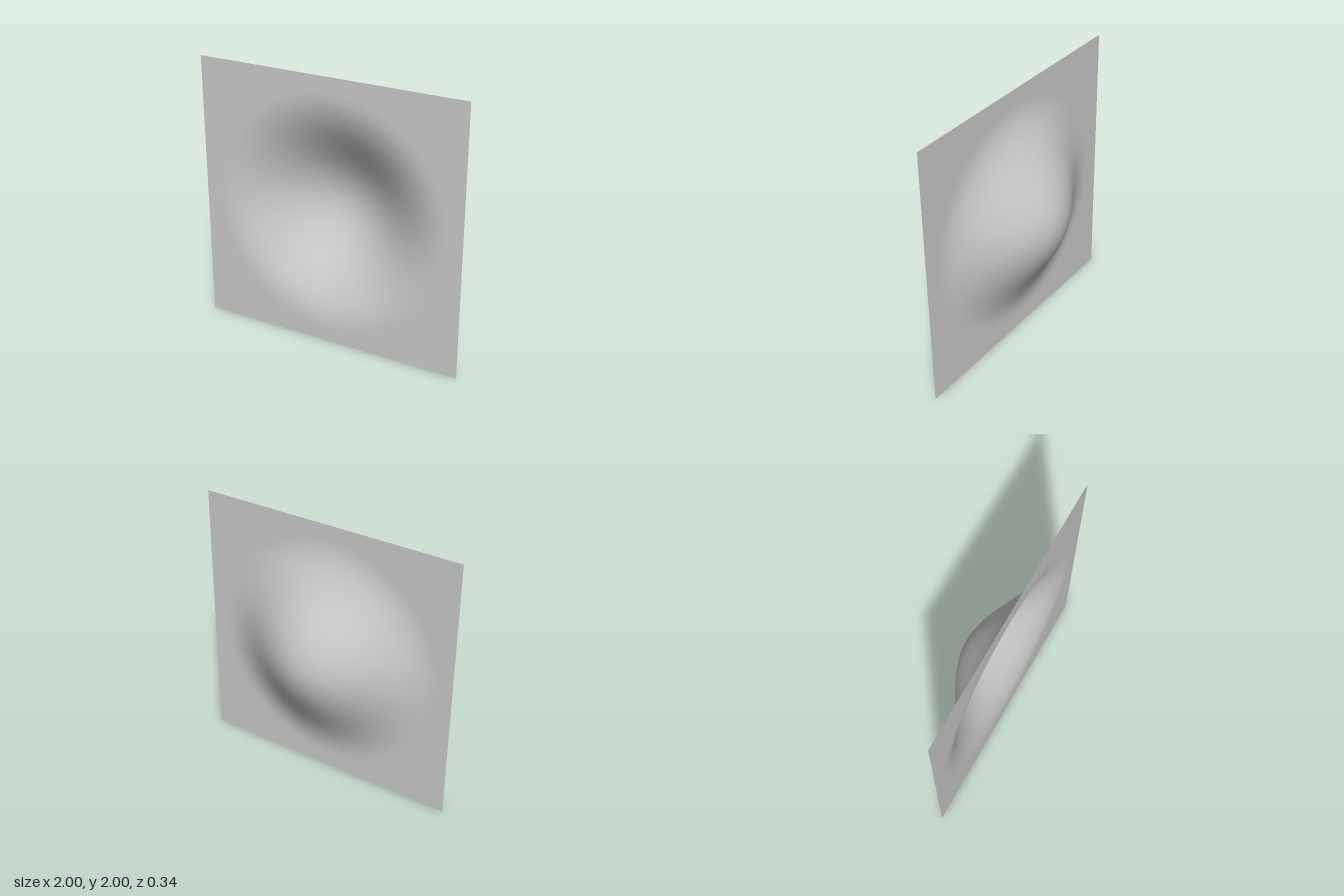
import * as THREE from 'three';

const SIZE = 2, SEGMENTS = 64, RADIUS = 0.88, DEPTH = 0.34;

export function createModel() {
  const group = new THREE.Group();
  group.name = 'dishedSheet';

  // Flat square sheet with a smooth round dent pushed towards the back
  const geometry = new THREE.PlaneGeometry(SIZE, SIZE, SEGMENTS, SEGMENTS);
  const pos = geometry.attributes.position;
  for (let i = 0; i < pos.count; i++) {
    const t = Math.min(Math.hypot(pos.getX(i), pos.getY(i)) / RADIUS, 1);
    const falloff = (1 + Math.cos(Math.PI * t)) / 2;
    pos.setZ(i, DEPTH / 2 - DEPTH * falloff);
  }
  geometry.translate(0, SIZE / 2, 0);
  geometry.computeVertexNormals();

  const material = new THREE.MeshStandardMaterial({ color: 0xcccccc, side: THREE.DoubleSide });
  const sheet = new THREE.Mesh(geometry, material);
  sheet.name = 'sheet';
  group.add(sheet);
  return group;
}
